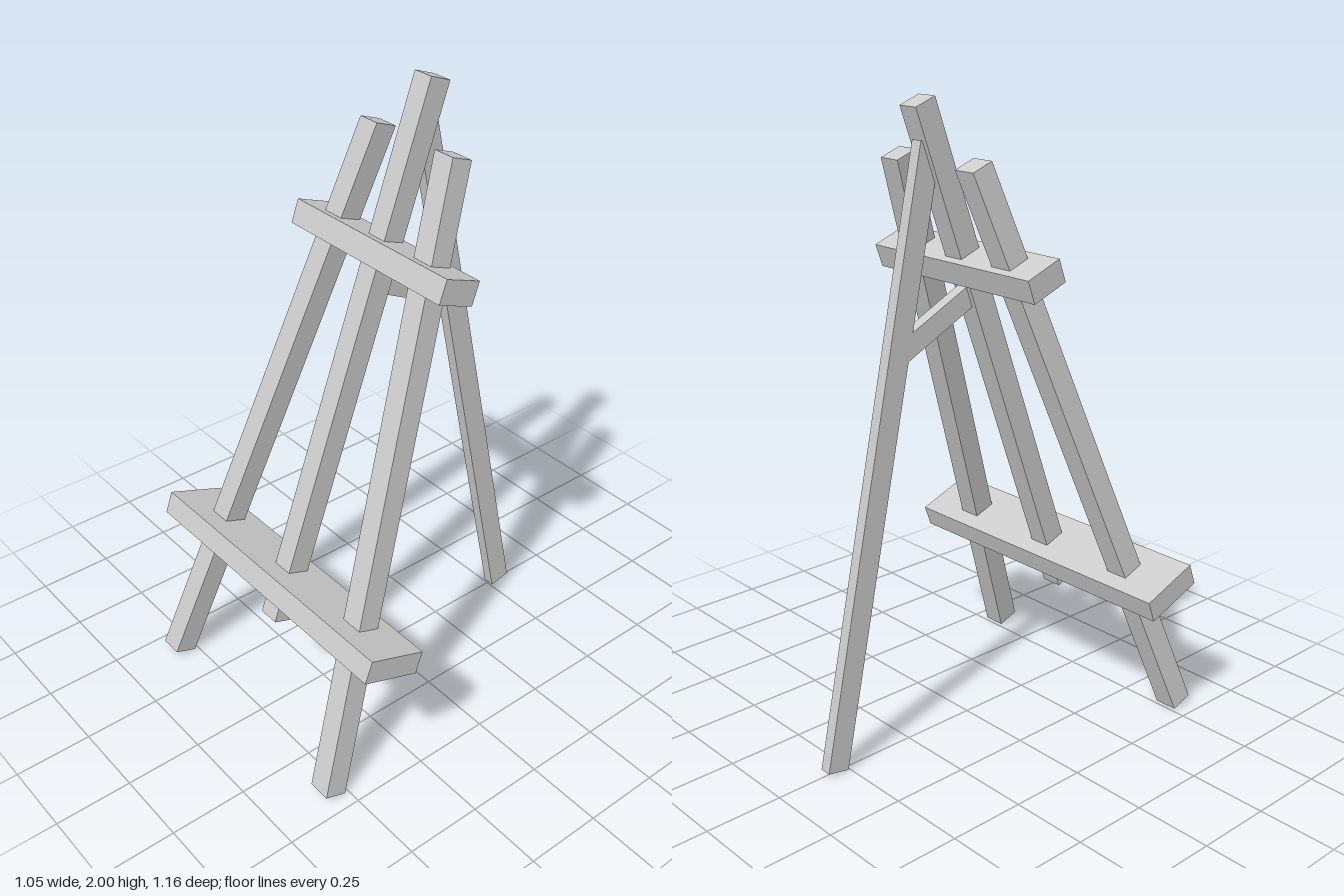
import * as THREE from 'three';

const DEPTH = 0.075; // timber thickness
const material = new THREE.MeshStandardMaterial({ color: 0xcccccc, flatShading: true });

function addBox(parent, name, w, h, d, x, y, z) {
  const mesh = new THREE.Mesh(new THREE.BoxGeometry(w, h, d), material);
  mesh.name = name;
  mesh.position.set(x, y, z);
  parent.add(mesh);
  return mesh;
}

// Square-ended bar between two [y, z] points in the centre plane
function addBar(parent, name, w, d, [y0, z0], [y1, z1]) {
  const length = Math.hypot(y1 - y0, z1 - z0);
  const bar = addBox(parent, name, w, length, d, 0, (y0 + y1) / 2, (z0 + z1) / 2);
  bar.rotation.x = Math.atan2(z1 - z0, y1 - y0);
}

// Slanted leg whose ends stay level across the frame
function addLeg(parent, name, side) {
  const half = 0.0375, length = 1.925;
  const bottom = side * 0.415, top = side * 0.162;
  const shape = new THREE.Shape([
    new THREE.Vector2(bottom - half, 0),
    new THREE.Vector2(bottom + half, 0),
    new THREE.Vector2(top + half, length),
    new THREE.Vector2(top - half, length),
  ]);
  const geometry = new THREE.ExtrudeGeometry(shape, { depth: DEPTH, bevelEnabled: false });
  geometry.translate(0, 0, -DEPTH / 2);
  const leg = new THREE.Mesh(geometry, material);
  leg.name = name;
  parent.add(leg);
}

export function createModel() {
  const easel = new THREE.Group();
  easel.name = 'easel';

  // Front frame, leaning back as one piece
  const frame = new THREE.Group();
  frame.name = 'frontFrame';
  frame.position.set(0, 0.014, 0.549);
  frame.rotation.x = -0.3565;
  easel.add(frame);

  addLeg(frame, 'leftLeg', 1);
  addLeg(frame, 'rightLeg', -1);
  addBox(frame, 'centrePost', 0.07, 1.738, DEPTH, 0, 1.235, 0);
  addBox(frame, 'upperCrossbar', 0.672, 0.076, 0.13, 0, 1.587, 0.003);
  addBox(frame, 'canvasShelf', 1.05, 0.074, 0.202, 0, 0.504, 0.009);

  // Rear support and the brace tying it to the post
  addBar(easel, 'backLeg', 0.038, DEPTH, [0.008, -0.543], [1.87, -0.153]);
  addBar(easel, 'brace', 0.038, 0.068, [1.41, 0.01], [1.276, -0.265]);

  return easel;
}
